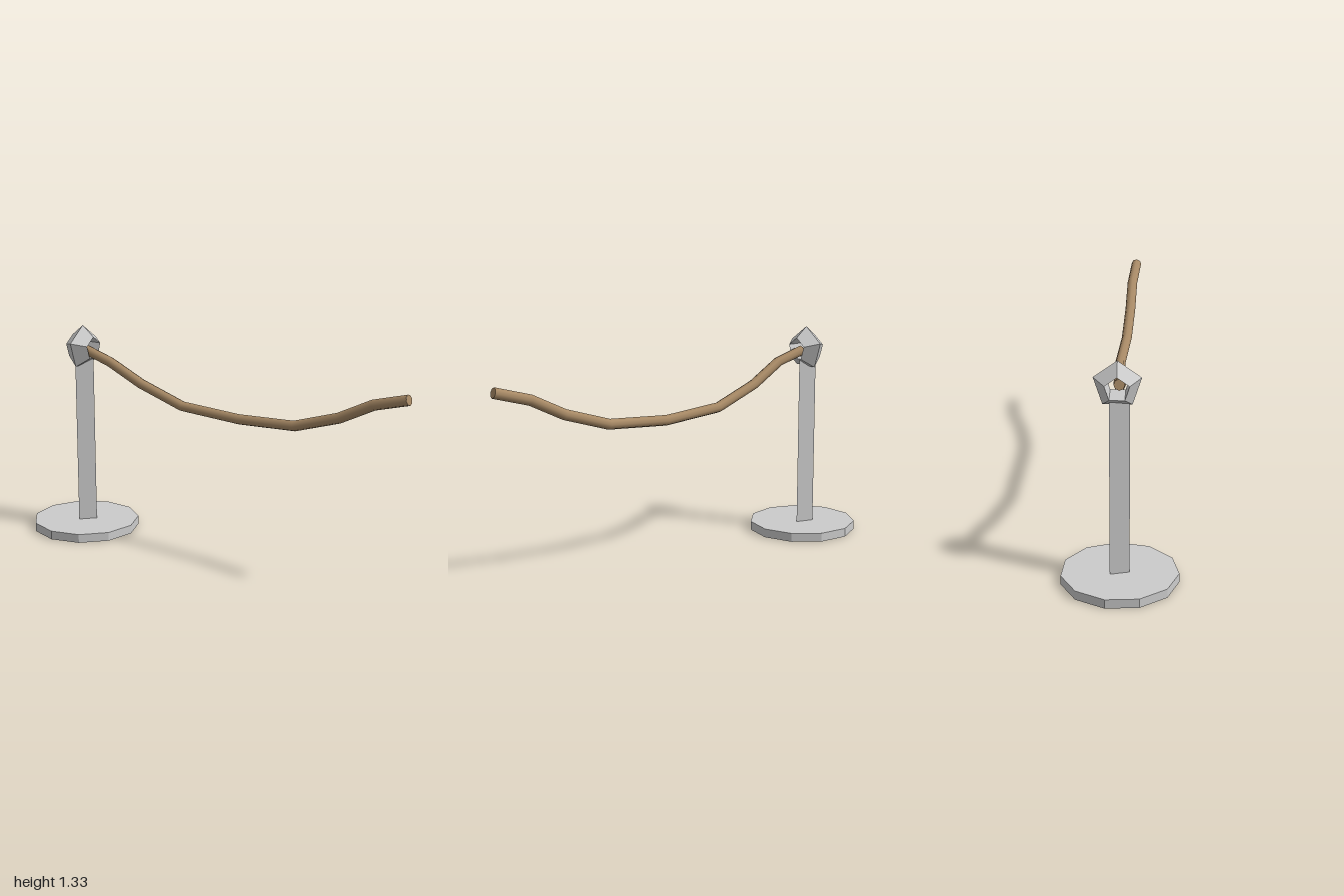
import * as THREE from 'three';

const grey = new THREE.MeshStandardMaterial({ color: 0xcccccc, flatShading: true });
const brown = new THREE.MeshStandardMaterial({ color: 0xa88a66 });

// Curve sampled exactly at its control points, giving a faceted sag
class RopeCurve extends THREE.CatmullRomCurve3 {
  getPointAt(u, target) { return this.getPoint(u, target); }
  getTangentAt(u, target) { return this.getTangent(u, target); }
}

export function createModel() {
  const model = new THREE.Group();
  const add = (name, geometry, material, x = 0, y = 0, z = 0) => {
    const mesh = new THREE.Mesh(geometry, material);
    mesh.name = name;
    mesh.position.set(x, y, z);
    model.add(mesh);
    return mesh;
  };
  // Prism with one corner pointing to the back
  const prism = (radius, height, sides) =>
    new THREE.CylinderGeometry(radius, radius, height, sides, 1, false, Math.PI);

  // Stand
  add('base', prism(0.34, 0.055, 11), grey, -0.642, 0.0275, -0.66);
  add('post', prism(0.067, 1.07, 3), grey, -0.635, 0.585, -0.664);

  // Five-sided ring with a wide triangular section, its hole facing along the rope
  const ring = new THREE.TorusGeometry(0.095, 0.045, 3, 5);
  ring.rotateZ(Math.PI / 2).scale(1, 1, 2.1).rotateY(Math.PI / 4);
  add('ring', ring, grey, -0.635, 1.192, -0.668);

  // Sagging rope
  const points = [
    [-0.62, 1.18, -0.64], [-0.49, 1.125, -0.5], [-0.32, 1.01, -0.36],
    [-0.1, 0.905, -0.16], [0.19, 0.88, 0.12], [0.45, 0.905, 0.42],
    [0.65, 1.0, 0.64], [0.8, 1.11, 0.8], [0.945, 1.175, 0.975],
  ].map((p) => new THREE.Vector3(...p));
  const curve = new RopeCurve(points);
  const radius = 0.032, sides = 8;
  add('rope', new THREE.TubeGeometry(curve, points.length - 1, radius, sides), brown);

  // Rope ends
  for (const u of [0, 1]) {
    const p = curve.getPoint(u);
    const out = curve.getTangent(u).multiplyScalar(u ? 1 : -1);
    const cap = add('ropeEnd', new THREE.CircleGeometry(radius, sides), brown, p.x, p.y, p.z);
    cap.lookAt(p.clone().add(out));
  }
  return model;
}
